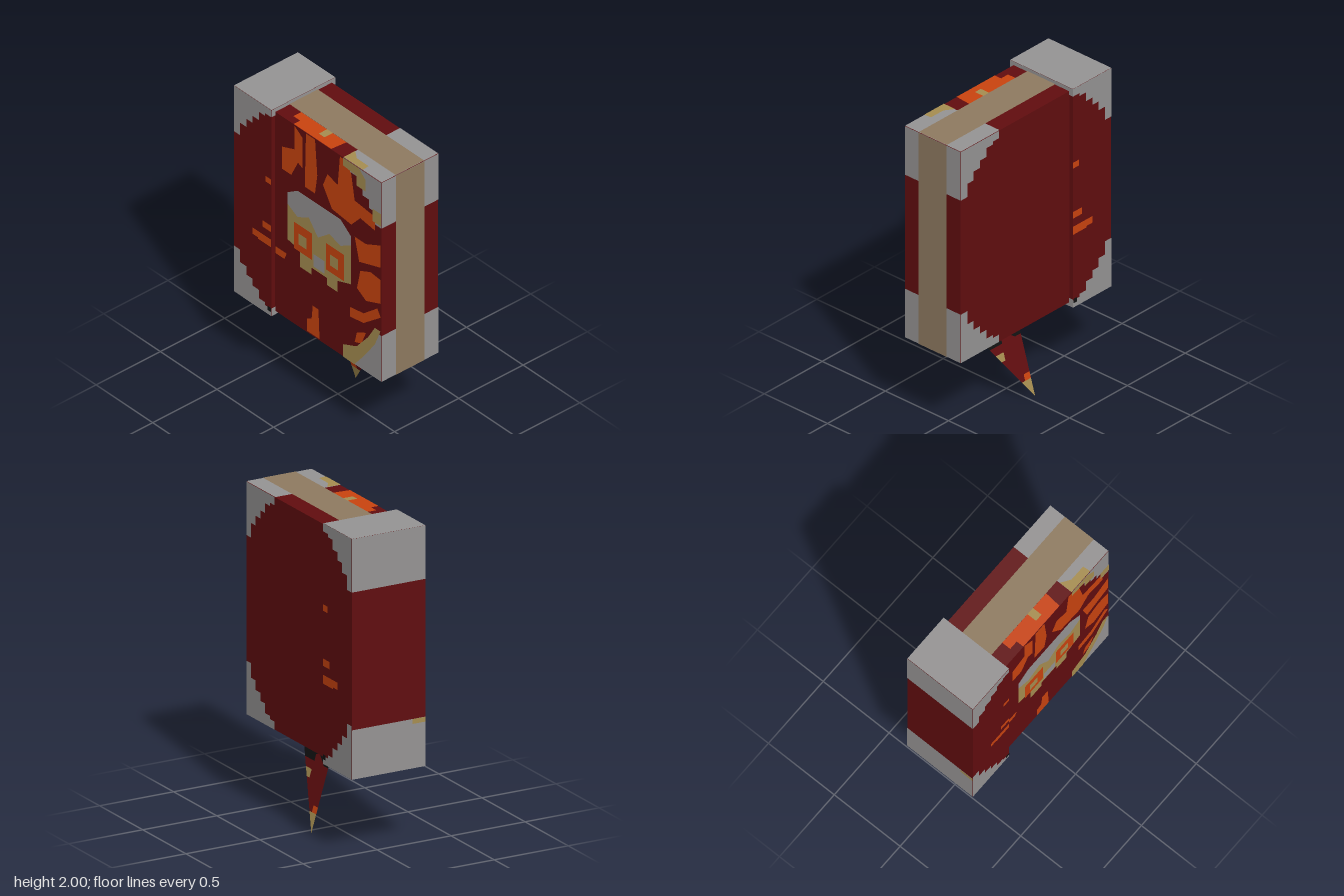
import * as THREE from 'three';

const mat = (name, color, side = THREE.FrontSide) => {
  const m = new THREE.MeshStandardMaterial({ color, side });
  m.name = name;
  return m;
};

export function createModel() {
  const book = new THREE.Group();
  book.name = 'book';
  const red = mat('dark red leather', 0x610d0f);
  const grey = mat('grey metal', 0x959393);
  const tan = mat('tan pages', 0x8e7a60);
  const orange = mat('orange flame', 0xc9430f);
  const gold = mat('dull gold', 0xa68d50);
  const black = mat('black', 0x111111);

  // Axes of each face: horizontal, vertical, outward
  const V = (x, y, z) => new THREE.Vector3(x, y, z);
  const faces = {
    right: [V(0, 0, -1), V(0, 1, 0), V(1, 0, 0), -1, 1],
    left: [V(0, 0, 1), V(0, 1, 0), V(-1, 0, 0), 1, 1],
    front: [V(1, 0, 0), V(0, 1, 0), V(0, 0, 1), 1, 1],
    back: [V(-1, 0, 0), V(0, 1, 0), V(0, 0, -1), -1, 1],
    top: [V(1, 0, 0), V(0, 0, -1), V(0, 1, 0), 1, -1],
    bottom: [V(1, 0, 0), V(0, 0, 1), V(0, -1, 0), 1, 1],
  };

  // Flat painted patch, corners in model coordinates along the face
  function paint(name, face, dist, material, points, layer = 1) {
    const [u, v, n, su, sv] = faces[face];
    const shape = new THREE.Shape(points.map(([a, b]) => new THREE.Vector2(a * su, b * sv)));
    const geo = new THREE.ShapeGeometry(shape);
    geo.translate(0, 0, dist + 0.002 * layer);
    geo.applyMatrix4(new THREE.Matrix4().makeBasis(u, v, n));
    const mesh = new THREE.Mesh(geo, material);
    mesh.name = name;
    book.add(mesh);
  }
  const rect = (a0, a1, b0, b1) => [[a0, b0], [a1, b0], [a1, b1], [a0, b1]];

  function block(name, w, y0, y1, z0, z1, material) {
    const mesh = new THREE.Mesh(new THREE.BoxGeometry(w, y1 - y0, z1 - z0), material);
    mesh.position.set(0, (y0 + y1) / 2, (z0 + z1) / 2);
    mesh.name = name;
    book.add(mesh);
  }

  // Body and wider spine
  const W = 0.22, Y0 = 0.54, Y1 = 1.975, ZF = 0.635, ZS = -0.305;
  const SW = 0.248, SY0 = 0.515, SY1 = 2.0;
  block('bookBody', W * 2, Y0, Y1, ZS, ZF, red);
  const spineMaterials = [red, red, grey, grey, red, red];
  block('spine', SW * 2, SY0, SY1, -ZF, ZS, spineMaterials);

  // Stepped metal corners on both covers
  const steps = [[0, 0], [0, 0.33], [0.055, 0.33], [0.055, 0.24], [0.11, 0.24], [0.11, 0.18],
    [0.165, 0.18], [0.165, 0.13], [0.22, 0.13], [0.22, 0.07], [0.275, 0.07], [0.275, 0.05],
    [0.33, 0.05], [0.33, 0]];
  const corner = (z, y, sz, sy) => steps.map(([a, b]) => [z + a * sz, y + b * sy]);
  for (const side of ['right', 'left']) {
    paint('frontTopCorner', side, W, grey, corner(ZF, Y1, -1, -1));
    paint('frontBottomCorner', side, W, grey, corner(ZF, Y0, -1, 1));
    paint('spineTopCorner', side, SW, grey, corner(-ZF, SY1, 1, -1));
    paint('spineBottomCorner', side, SW, grey, corner(-ZF, SY0, 1, 1));
    // Small flames on the spine sides
    paint('spineFlame', side, SW, orange, rect(-0.47, ZS, 1.02, 1.065));
    paint('spineFlame', side, SW, orange, rect(-0.42, ZS, 1.01, 1.065));
    paint('spineFlame', side, SW, orange, rect(-0.38, ZS, 1.12, 1.165));
    paint('spineFlame', side, SW, orange, rect(-0.355, ZS, 1.46, 1.5));
    paint('spineSpot', side, SW, black, rect(-0.335, ZS, 0.545, 0.575), 2);
  }

  // Metal bands and pages on the front, and bands on the spine
  paint('topFrontBand', 'front', ZF, grey, rect(-W, W, 1.645, Y1));
  paint('bottomFrontBand', 'front', ZF, grey, rect(-W, W, Y0, 0.87));
  paint('frontPages', 'front', ZF, tan, rect(-0.11, 0.11, Y0, Y1), 2);
  paint('spineTopBand', 'back', ZF, grey, rect(-SW, SW, 1.67, SY1));
  paint('spineBottomBand', 'back', ZF, grey, rect(-SW, SW, SY0, 0.82));
  paint('spineGoldSpot', 'back', ZF, gold, rect(-SW, -0.16, 0.79, 0.82), 2);
  paint('spineTopLip', 'front', ZS, grey, rect(-SW, SW, 1.95, SY1));
  paint('spineBottomLip', 'front', ZS, grey, rect(-SW, SW, SY0, 0.57));

  // Top and bottom edges
  for (const [face, d] of [['top', Y1], ['bottom', -Y0]]) {
    paint('edgeCorners', face, d, grey, rect(-W, W, 0.3, ZF));
    paint('edgePages', face, d, tan, rect(-0.11, 0.11, ZS, ZF), 2);
    paint('edgeFlame', face, d, orange,
      [[-W, -0.14], [-0.17, -0.14], [-0.17, -0.2], [-0.11, -0.2], [-0.11, 0.2], [-W, 0.19]]);
  }
  paint('edgeGold', 'top', Y1, gold, [[-W, 0.3], [-0.13, 0.3], [-0.17, 0.36], [-0.17, 0.465], [-W, 0.47]], 2);
  paint('edgeGoldSpot', 'top', Y1, gold, rect(-0.175, -0.11, 0.03, 0.08), 2);

  // Flames on the decorated cover
  const flames = [
    [[-0.24, 1.6], [-0.16, 1.6], [-0.1, 1.72], [-0.06, 1.7], [-0.06, 1.92], [-0.13, 1.97], [-0.13, 1.8], [-0.24, 1.76]],
    [[-0.04, 1.58], [0.05, 1.58], [0.07, 1.72], [0.05, 1.97], [-0.03, 1.97]],
    [[0.12, 1.68], [0.2, 1.55], [0.37, 1.53], [0.45, 1.62], [0.58, 1.6], [0.58, 1.7], [0.4, 1.72], [0.36, 1.95], [0.27, 1.97], [0.25, 1.75], [0.16, 1.78]],
    [[0.44, 1.3], [0.63, 1.36], [0.63, 1.52], [0.5, 1.46], [0.4, 1.46]],
    [[0.42, 1.1], [0.5, 1.05], [0.63, 1.1], [0.63, 1.27], [0.54, 1.28], [0.45, 1.24]],
    [[0.36, 0.86], [0.48, 0.88], [0.63, 1.0], [0.6, 1.05], [0.48, 0.95], [0.36, 0.93]],
    [[0.4, 0.7], [0.46, 0.72], [0.5, 0.82], [0.42, 0.78]],
    [[-0.02, 0.55], [0.09, 0.55], [0.08, 0.76], [0.03, 0.76], [0.02, 0.66], [-0.02, 0.64]],
    [[-0.3, 0.96], [-0.22, 0.96], [-0.2, 1.01], [-0.3, 1.01]],
  ];
  flames.forEach((p) => paint('coverFlame', 'left', W, orange, p));

  // Gold trim along the decorated front corners
  paint('goldTopTrim', 'left', W, gold,
    [[0.3, 1.975], [0.3, 1.92], [0.42, 1.91], [0.42, 1.84], [0.5, 1.84], [0.5, 1.92], [0.44, 1.975]], 2);
  paint('goldSideTrim', 'left', W, gold, rect(0.56, ZF, 1.66, 1.75), 2);
  paint('goldBottomTrim', 'left', W, gold,
    [[0.3, 0.54], [0.3, 0.63], [0.42, 0.68], [0.52, 0.8], [0.58, 0.9], [0.63, 0.9], [0.58, 0.78], [0.48, 0.64], [0.4, 0.54]], 2);

  // Mask emblem: gold lower face, grey brow, square eyes and nose
  paint('emblemFace', 'left', W, gold,
    [[-0.19, 1.12], [-0.08, 1.1], [-0.08, 0.98], [0.02, 0.98], [0.02, 1.03], [0.16, 1.03], [0.16, 0.98],
      [0.25, 0.98], [0.25, 1.06], [0.37, 1.1], [0.37, 1.42], [-0.19, 1.42]], 2);
  paint('emblemBrow', 'left', W, grey,
    [[-0.19, 1.38], [-0.1, 1.33], [0, 1.38], [0.08, 1.28], [0.18, 1.36], [0.28, 1.33], [0.37, 1.38],
      [0.37, 1.45], [0.28, 1.52], [-0.1, 1.52], [-0.19, 1.46]], 3);
  for (const z of [-0.05, 0.23]) {
    paint('emblemEye', 'left', W, orange, rect(z - 0.08, z + 0.08, 1.09, 1.28), 3);
    paint('emblemPupil', 'left', W, gold, rect(z - 0.04, z + 0.03, 1.14, 1.22), 4);
  }
  paint('emblemNose', 'left', W, grey, rect(0.04, 0.14, 1.05, 1.14), 3);

  // Slanted triangular bookmark below the pages
  const edge = (y) => -0.05 + 0.704 * y;
  const ribbonMats = new Map([red, black, gold, orange].map((m) => {
    const c = m.clone();
    c.side = THREE.DoubleSide;
    c.name = m.name + ' ribbon';
    return [m, c];
  }));
  function ribbon(name, material, points) {
    const geo = new THREE.ShapeGeometry(new THREE.Shape(points.map(([z, y]) => new THREE.Vector2(-z, y))));
    const p = geo.attributes.position;
    for (let i = 0; i < p.count; i++) {
      const z = -p.getX(i), y = p.getY(i);
      p.setXYZ(i, 0.02 + (Y0 - y) * 0.3, y, z);
    }
    geo.computeVertexNormals();
    const mesh = new THREE.Mesh(geo, ribbonMats.get(material));
    mesh.name = name;
    book.add(mesh);
  }
  const bump = [[0.11, 0.38], [0.11, 0.42], [0.07, 0.43], [0, 0.38]];
  ribbon('bookmarkTop', black, [[edge(0.54), 0.54], [edge(0.38), 0.38], ...bump, [-0.05, 0.38], [-0.05, 0.54]]);
  ribbon('bookmarkMiddle', red, [[edge(0.38), 0.38], ...bump, [-0.05, 0.38], [-0.05, 0.15], [0, 0.15],
    [0, 0.11], [edge(0.11), 0.11], [edge(0.28), 0.28], [0.115, 0.28], [0.115, 0.33], [edge(0.33), 0.33]]);
  ribbon('bookmarkGoldPatch', gold, [[edge(0.28), 0.28], [0.115, 0.28], [0.115, 0.33], [edge(0.33), 0.33]]);
  ribbon('bookmarkFlame', orange, rect(-0.05, 0, 0.11, 0.15));
  ribbon('bookmarkTip', gold, [[edge(0.11), 0.11], [-0.05, 0.11], [-0.05, 0]]);
  return book;
}
